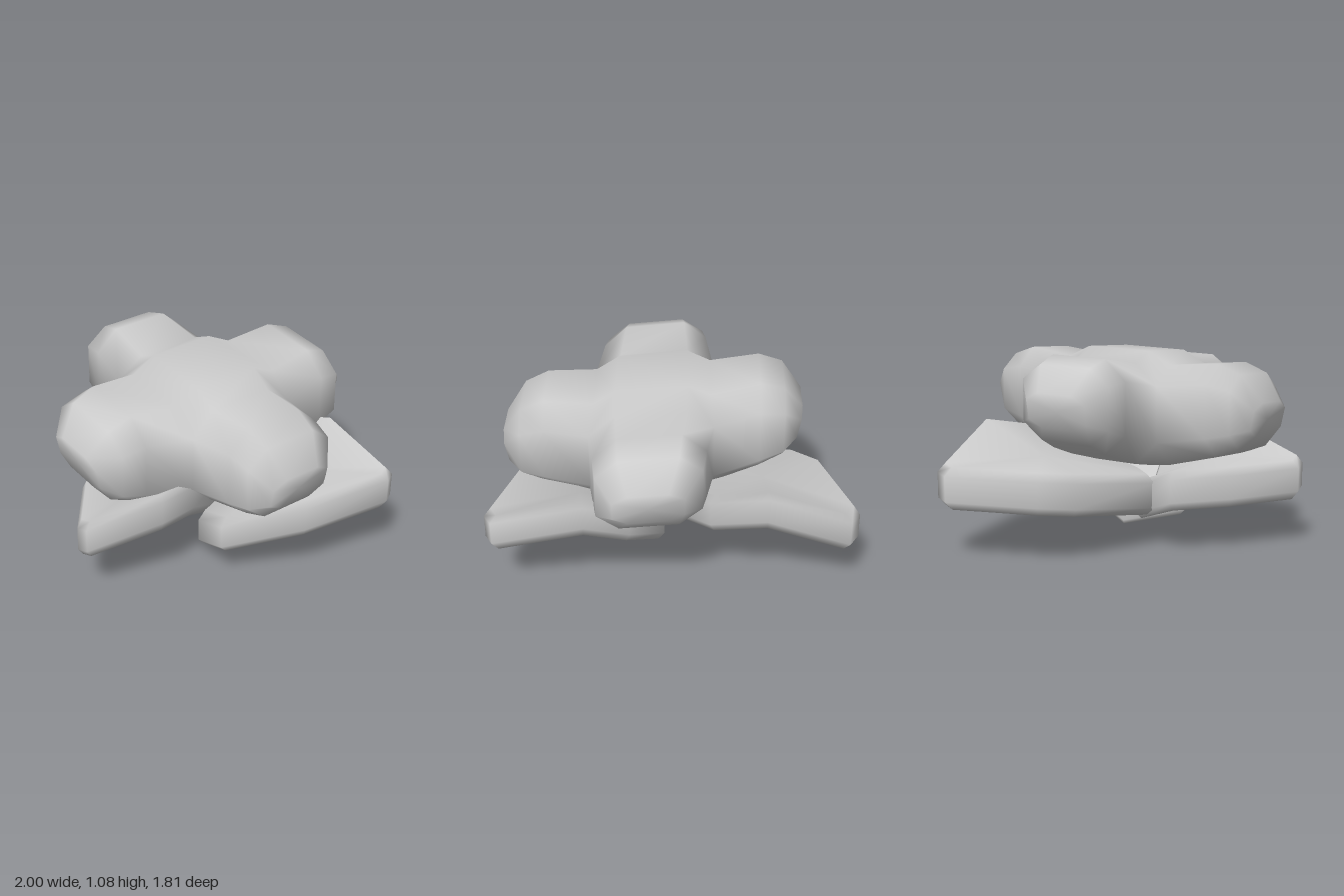
import * as THREE from 'three';
import { mergeVertices } from 'three/addons/utils/BufferGeometryUtils.js';

const material = new THREE.MeshStandardMaterial({ color: 0xcccccc });

const average = ring =>
  ring.reduce((s, p) => s.add(p), new THREE.Vector3()).divideScalar(ring.length);

// Smooth mesh from a flat list of triangle corners
function smoothMesh(name, corners) {
  const geometry = mergeVertices(new THREE.BufferGeometry().setFromPoints(corners), 1e-4);
  geometry.computeVertexNormals();
  const mesh = new THREE.Mesh(geometry, material);
  mesh.name = name;
  return mesh;
}

const quad = (a, b, c, d) => [a, b, c, a, c, d];

// Walls between successive rings, counter-clockwise seen from the last ring
function walls(rings) {
  const out = [];
  for (let r = 0; r + 1 < rings.length; r++) {
    const [p, q] = [rings[r], rings[r + 1]];
    p.forEach((_, i) => {
      const j = (i + 1) % p.length;
      out.push(...quad(p[i], p[j], q[j], q[i]));
    });
  }
  return out;
}

// Fan closing a ring
function cap(ring) {
  const centre = average(ring);
  return ring.flatMap((p, i) => [centre, p, ring[(i + 1) % ring.length]]);
}

// Chamfered petal section: across and up, each from -1 to 1
const K = 0.57;
const SECTION = [[1, -K], [1, K], [K, 1], [-K, 1], [-1, K], [-1, -K], [-K, -1], [K, -1]];

// Petal stations: reach, half width, bottom, top, lean of the section
const PETAL = [
  [0.33, 0.33, 0.425, 0.985, 0],
  [0.61, 0.295, 0.5, 1.013, 0],
  [0.745, 0.275, 0.555, 0.965, 0],
  [0.835, 0.185, 0.63, 0.82, 0.02],
];

// Four petals joined by a raised centre, leaning down toward +x
function bloom() {
  const place = (x, y, z) => new THREE.Vector3(0.12 + x, y - 0.1 * x, -0.055 + z);
  const signs = [[1, 1], [1, -1], [-1, -1], [-1, 1]];
  const square = (half, y) => signs.map(([x, z]) => place(x * half, y, z * half));
  const [high, low] = [square(0.335, 0.87), square(0.335, 0.56)];
  const [crown, base] = [square(0.195, 1.05), square(0.195, 0.41)];

  const corners = [];
  const roots = [];
  for (let k = 0; k < 4; k++) {
    const sin = [0, 1, 0, -1][k], cos = [1, 0, -1, 0][k];
    const length = k % 2 ? 0.955 : 1;
    const rings = PETAL.map(([reach, width, bottom, top, lean]) => SECTION.map(([a, b]) => {
      const out = (reach + lean * b) * length, side = a * width;
      const y = (bottom + top) / 2 + b * (top - bottom) / 2;
      return place(out * sin + side * cos, y, out * cos - side * sin);
    }));
    // Neighbouring petals share the corner points between them
    const before = (k + 3) % 4;
    [rings[0][0], rings[0][1]] = [low[k], high[k]];
    [rings[0][4], rings[0][5]] = [high[before], low[before]];
    corners.push(...walls(rings), ...cap(rings.at(-1)));
    roots.push(rings[0]);
  }
  // Centre patches on top and underneath
  for (let k = 0; k < 4; k++) {
    const root = roots[k], next = roots[(k + 1) % 4], before = (k + 3) % 4;
    corners.push(
      ...quad(root[3], root[2], crown[k], crown[before]),
      ...quad(high[k], next[3], crown[k], root[2]),
      ...quad(root[7], root[6], base[before], base[k]),
      ...quad(low[k], root[7], base[k], next[6]),
    );
  }
  corners.push(...quad(...crown), ...quad(...base.reverse()));
  return smoothMesh('bloom', corners);
}

// Bevelled slab on a slightly cupped outline, listed counter-clockwise from above
function leaf(name, outline, height) {
  const loop = outline.map(p => new THREE.Vector3(...p));
  const mid = average(loop);
  const ring = (scale, up) => loop.map(p => {
    const q = p.clone().sub(mid).multiplyScalar(scale).add(mid);
    q.y += up;
    return q;
  });
  const rings = [ring(0.93, 0), ring(1, 0.045), ring(1, height - 0.045), ring(0.93, height)];
  return smoothMesh(name, [...walls(rings), ...cap(rings[3]), ...cap(rings[0].reverse())]);
}

export function createModel() {
  const model = new THREE.Group();
  model.name = 'flower';
  model.add(bloom());

  // Three thick leaves fanned out beneath the bloom
  model.add(
    leaf('leftLeaf', [
      [1, 0.32, -0.64], [0.96, 0.32, -0.71], [0.47, 0.43, -0.72], [0.23, 0.35, -0.66],
      [0.05, 0.2, -0.44], [0.12, -0.025, -0.15], [0.33, 0.03, 0.14], [0.62, 0.17, 0.215],
      [0.88, 0.27, -0.15],
    ], 0.22),
    leaf('rightLeaf', [
      [-0.95, 0.28, -0.64], [-1, 0.275, -0.55], [-0.83, 0.27, -0.07], [-0.68, 0.25, 0.07],
      [-0.2, 0.18, 0.26], [-0.05, 0.17, 0.1], [0, 0.25, -0.3], [-0.2, 0.39, -0.62],
      [-0.5, 0.46, -0.69],
    ], 0.23),
    leaf('frontLeaf', [
      [0.27, 0.26, 0.9], [0.34, 0.28, 0.89], [0.48, 0.37, 0.5], [0.45, 0.36, 0.26],
      [0.3, 0.2, 0], [0.12, 0.08, 0.05], [-0.17, 0.13, 0.12], [-0.27, 0.24, 0.4],
      [-0.05, 0.25, 0.65],
    ], 0.22),
  );
  return model;
}
